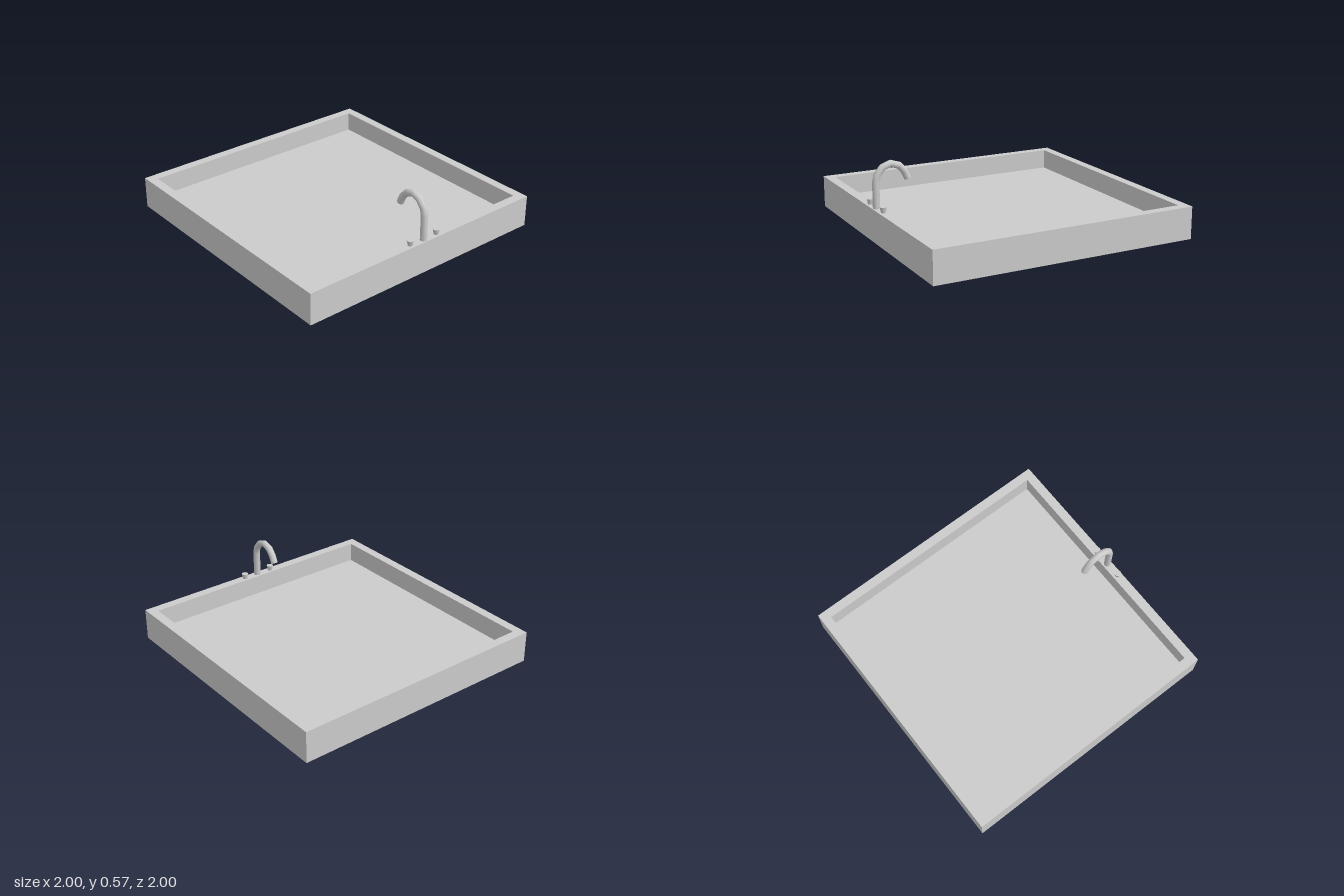
import * as THREE from 'three';

// Curve that steps exactly through its given points, with mitred tangents
class Polyline extends THREE.Curve {
  constructor(points) { super(); this.points = points; }
  getPoint(t, target = new THREE.Vector3()) {
    const n = this.points.length - 1;
    const i = Math.min(Math.floor(t * n + 1e-9), n - 1);
    return target.lerpVectors(this.points[i], this.points[i + 1], t * n - i);
  }
  getPointAt(t, target) { return this.getPoint(t, target); }
  getTangentAt(t, target = new THREE.Vector3()) {
    const n = this.points.length - 1, i = Math.round(t * n);
    const dir = (k) => this.points[k + 1].clone().sub(this.points[k]).normalize();
    return target.copy(dir(Math.max(i - 1, 0))).add(dir(Math.min(i, n - 1))).normalize();
  }
}

export function createModel() {
  const model = new THREE.Group();
  const flat = new THREE.MeshStandardMaterial({ color: 0xcccccc, flatShading: true });
  const smooth = new THREE.MeshStandardMaterial({ color: 0xcccccc });
  const add = (name, geometry, material, parent = model) => {
    const mesh = new THREE.Mesh(geometry, material);
    mesh.name = name;
    parent.add(mesh);
    return mesh;
  };

  // Square basin: a four-sided lathe of the wall section (half width, height)
  const height = 0.24, floor = 0.09, inner = 0.93;
  const section = [[0, 0], [1, 0], [1, height], [inner, height], [inner, floor], [0, floor]]
    .map(([r, y]) => new THREE.Vector2(r * Math.SQRT2, y));
  add('basin', new THREE.LatheGeometry(section, 4, Math.PI / 4), flat);

  // Faucet on the middle of the front rim, bending back over the basin
  const faucet = new THREE.Group();
  faucet.name = 'faucet';
  model.add(faucet);
  const path = [
    [height, 0.967], [0.425, 0.967], [0.476, 0.957], [0.528, 0.914],
    [0.549, 0.853], [0.528, 0.79], [0.485, 0.752], [0.43, 0.727],
  ].map(([y, z]) => new THREE.Vector3(0, y, z));
  const radius = 0.026;
  add('spout', new THREE.TubeGeometry(new Polyline(path), path.length - 1, radius, 12), smooth, faucet);

  // Closed mouth of the spout
  const [before, end] = path.slice(-2);
  const mouth = add('spoutMouth', new THREE.CircleGeometry(radius, 12), smooth, faucet);
  mouth.position.copy(end);
  mouth.lookAt(end.clone().multiplyScalar(2).sub(before));

  // Tapered tap knobs on either side
  for (const side of [-1, 1]) {
    const knob = add(side > 0 ? 'leftKnob' : 'rightKnob',
      new THREE.CylinderGeometry(0.025, 0.017, 0.04, 16), smooth, faucet);
    knob.position.set(side * 0.12, height + 0.02, 0.965);
  }
  return model;
}
